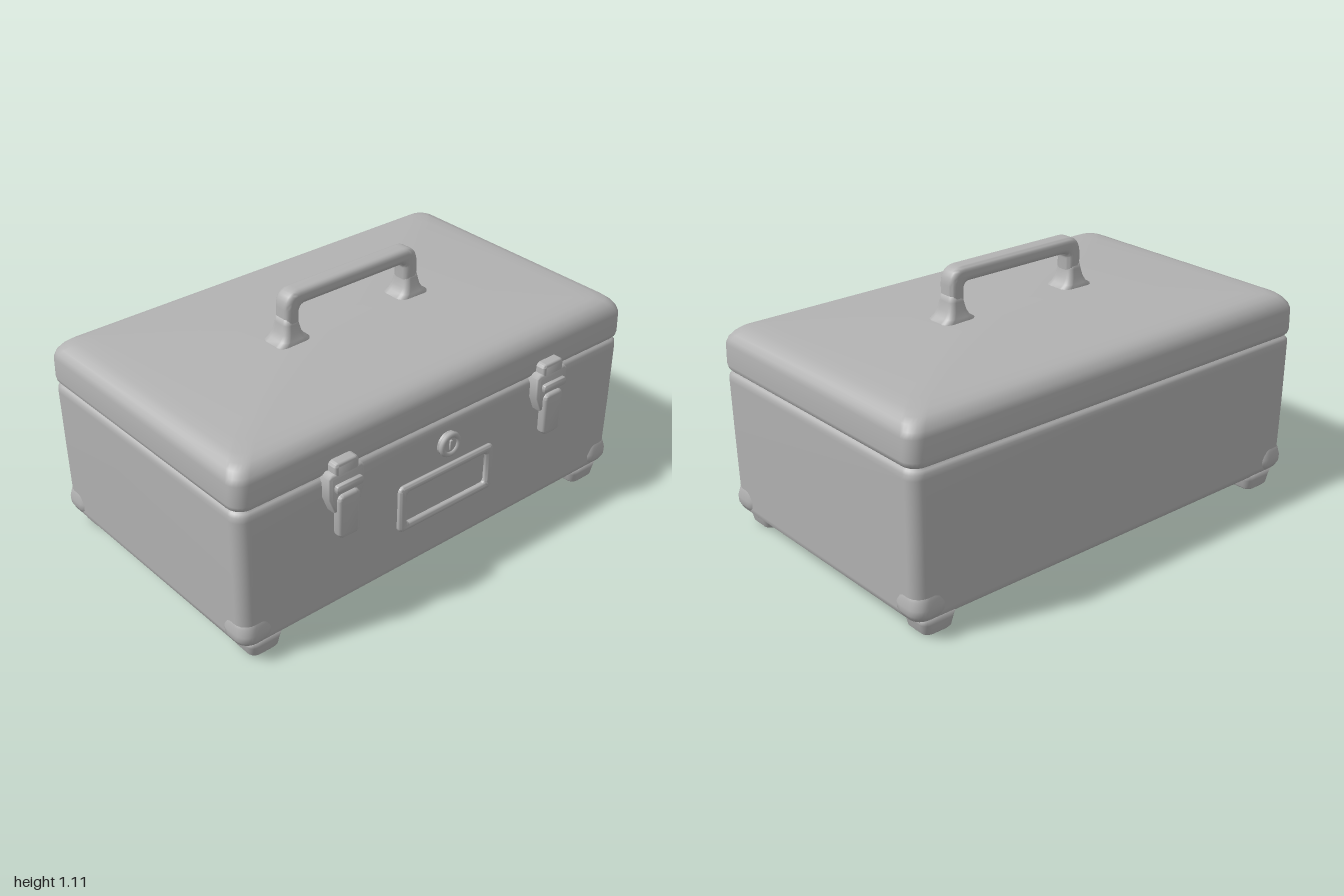
import * as THREE from 'three';
import { toCreasedNormals } from 'three/addons/utils/BufferGeometryUtils.js';

const metal = new THREE.MeshStandardMaterial({ color: 0xb2b2b2 });
metal.name = 'grey metal';

// Smooth stack of rounded rectangles; each ring is [y, halfX, halfZ, cornerRadius]
function loft(rings, arc = 6) {
  const pos = [], index = [], n = 4 * (arc + 1);
  for (const [y, hx, hz, radius] of rings) {
    const r = Math.min(radius, hx, hz);
    for (let q = 0; q < 4; q++) {
      const sx = q === 0 || q === 3 ? 1 : -1, sz = q < 2 ? 1 : -1;
      for (let k = 0; k <= arc; k++) {
        const a = (q + k / arc) * Math.PI / 2;
        pos.push(sx * (hx - r) + r * Math.cos(a), y, sz * (hz - r) + r * Math.sin(a));
      }
    }
  }
  for (let i = 0; i < rings.length - 1; i++) for (let j = 0; j < n; j++) {
    const a = i * n + j, b = i * n + (j + 1) % n;
    index.push(a, a + n, b, b, a + n, b + n);
  }
  const bottom = pos.length / 3, last = (rings.length - 1) * n;
  pos.push(0, rings[0][0], 0, 0, rings[rings.length - 1][0], 0);
  for (let j = 0; j < n; j++) {
    const k = (j + 1) % n;
    index.push(bottom, j, k, bottom + 1, last + k, last + j);
  }
  const g = new THREE.BufferGeometry();
  g.setAttribute('position', new THREE.Float32BufferAttribute(pos, 3));
  g.setIndex(index);
  g.computeVertexNormals();
  return g;
}

// Softly bevelled plate from z0 to z1; the outline keeps its drawn size
function plate(shape, z0, z1, bevel) {
  const g = new THREE.ExtrudeGeometry(shape, {
    depth: z1 - z0 - 2 * bevel, bevelThickness: bevel, bevelSize: bevel,
    bevelOffset: -bevel, bevelSegments: 4, curveSegments: 8,
  });
  g.translate(0, 0, z0 + bevel);
  return toCreasedNormals(g, 0.9);
}

function roundRect(w, h, r, cx = 0, cy = 0, Type = THREE.Shape) {
  const s = new Type(), x = w / 2, y = h / 2, half = Math.PI / 2;
  s.absarc(cx + x - r, cy + y - r, r, 0, half);
  s.absarc(cx - x + r, cy + y - r, r, half, 2 * half);
  s.absarc(cx - x + r, cy - y + r, r, 2 * half, 3 * half);
  s.absarc(cx + x - r, cy - y + r, r, 3 * half, 4 * half);
  s.closePath();
  return s;
}

function add(parent, name, geometry, x = 0, y = 0, z = 0) {
  const m = new THREE.Mesh(geometry, metal);
  m.name = name;
  m.position.set(x, y, z);
  parent.add(m);
  return m;
}

function makeLatch() {
  const g = new THREE.Group();
  g.name = 'latch';
  add(g, 'latchCatch', plate(roundRect(0.115, 0.13, 0.02, 0, 0.69), 0.56, 0.625, 0.014));
  // Wide base that narrows towards the tongue
  const base = new THREE.Shape([[0.07, 0.715], [-0.07, 0.715], [-0.084, 0.7], [-0.084, 0.61],
    [-0.058, 0.545], [0.058, 0.545], [0.084, 0.61], [0.084, 0.7]]
    .map(([x, y]) => new THREE.Vector2(x, y)));
  add(g, 'latchBase', plate(base, 0.56, 0.626, 0.014));
  add(g, 'latchTongue', plate(roundRect(0.104, 0.19, 0.025, 0, 0.528), 0.6, 0.642, 0.014));
  add(g, 'latchHook', plate(roundRect(0.125, 0.035, 0.012, 0, 0.655), 0.6, 0.645, 0.01));
  return g;
}

export function createModel() {
  const box = new THREE.Group();
  box.name = 'toolbox';

  // Lower box and domed lid, with a groove at the seam
  add(box, 'body', loft([
    [0.069, 0.85, 0.47, 0.05], [0.07, 0.945, 0.565, 0.05], [0.077, 0.968, 0.588, 0.055],
    [0.09, 0.98, 0.6, 0.055], [0.11, 0.983, 0.604, 0.055], [0.4, 0.988, 0.61, 0.055],
    [0.65, 0.993, 0.611, 0.055], [0.671, 0.992, 0.609, 0.055], [0.682, 0.985, 0.602, 0.055],
    [0.688, 0.975, 0.592, 0.05], [0.7, 0.97, 0.585, 0.05],
  ]), 0, 0, -0.03);
  add(box, 'lid', loft([
    [0.688, 0.97, 0.588, 0.05], [0.693, 0.984, 0.602, 0.055], [0.703, 0.994, 0.611, 0.06],
    [0.72, 0.998, 0.614, 0.06], [0.805, 0.997, 0.613, 0.06], [0.828, 0.989, 0.606, 0.06],
    [0.848, 0.974, 0.591, 0.06], [0.864, 0.954, 0.571, 0.06], [0.874, 0.92, 0.537, 0.06],
    [0.88, 0.86, 0.48, 0.06], [0.89, 0.66, 0.34, 0.06], [0.898, 0.42, 0.2, 0.06],
    [0.902, 0.2, 0.08, 0.06],
  ]), 0, 0, -0.03);

  // Tapered feet and bulged corner guards
  const foot = loft([
    [0, 0.045, 0.045, 0.025], [0.003, 0.058, 0.055, 0.03], [0.012, 0.066, 0.062, 0.03],
    [0.05, 0.074, 0.067, 0.03], [0.085, 0.084, 0.073, 0.03],
  ]);
  const guard = loft([
    [0.085, 0.05, 0.05, 0.05], [0.095, 0.068, 0.068, 0.055], [0.115, 0.077, 0.077, 0.055],
    [0.14, 0.078, 0.078, 0.055], [0.17, 0.072, 0.072, 0.055], [0.215, 0.06, 0.06, 0.055],
  ]);
  for (const sx of [-1, 1]) for (const sz of [-1, 1]) {
    add(box, 'foot', foot, sx * 0.868, 0.005, -0.03 + sz * 0.523);
    add(box, 'cornerGuard', guard, sx * 0.915, 0, -0.03 + sz * 0.537);
  }

  // Carrying handle on flared mounts
  const arch = new THREE.Shape();
  arch.moveTo(0.338, 0.89);
  arch.lineTo(0.338, 1.04);
  arch.quadraticCurveTo(0.335, 1.11, 0.27, 1.11);
  arch.lineTo(-0.27, 1.11);
  arch.quadraticCurveTo(-0.335, 1.11, -0.338, 1.04);
  arch.lineTo(-0.338, 0.89);
  arch.lineTo(-0.272, 0.89);
  arch.lineTo(-0.272, 1.02);
  arch.quadraticCurveTo(-0.27, 1.046, -0.245, 1.046);
  arch.lineTo(0.245, 1.046);
  arch.quadraticCurveTo(0.27, 1.046, 0.272, 1.02);
  arch.lineTo(0.272, 0.89);
  add(box, 'handle', plate(arch, -0.045, 0.04, 0.022));
  const mount = loft([
    [0.88, 0.083, 0.066, 0.035], [0.902, 0.078, 0.064, 0.035], [0.915, 0.058, 0.058, 0.03],
    [0.94, 0.043, 0.051, 0.025], [0.975, 0.035, 0.044, 0.022], [1.0, 0.031, 0.04, 0.02],
  ]);
  for (const sx of [-1, 1]) {
    add(box, 'handleMount', mount, sx * 0.308, 0, -0.003);
    const latch = makeLatch();
    latch.position.x = sx * 0.535;
    box.add(latch);
  }

  // Round lock with a raised rim and key slot
  const lock = new THREE.CylinderGeometry(0.045, 0.057, 0.035, 32);
  lock.rotateX(Math.PI / 2);
  add(box, 'lock', toCreasedNormals(lock, 0.6), 0, 0.58, 0.583);
  add(box, 'lockRim', new THREE.TorusGeometry(0.042, 0.012, 10, 32), 0, 0.58, 0.597);
  add(box, 'keySlot', plate(roundRect(0.014, 0.045, 0.006), 0, 0.012, 0.004), 0, 0.58, 0.597);

  // Label holder: raised frame around a recessed panel
  const frame = roundRect(0.5, 0.21, 0.025, 0, 0.375);
  frame.holes.push(roundRect(0.42, 0.14, 0.015, 0, 0.375, THREE.Path));
  add(box, 'labelFrame', plate(frame, 0.562, 0.597, 0.014));

  return box;
}
